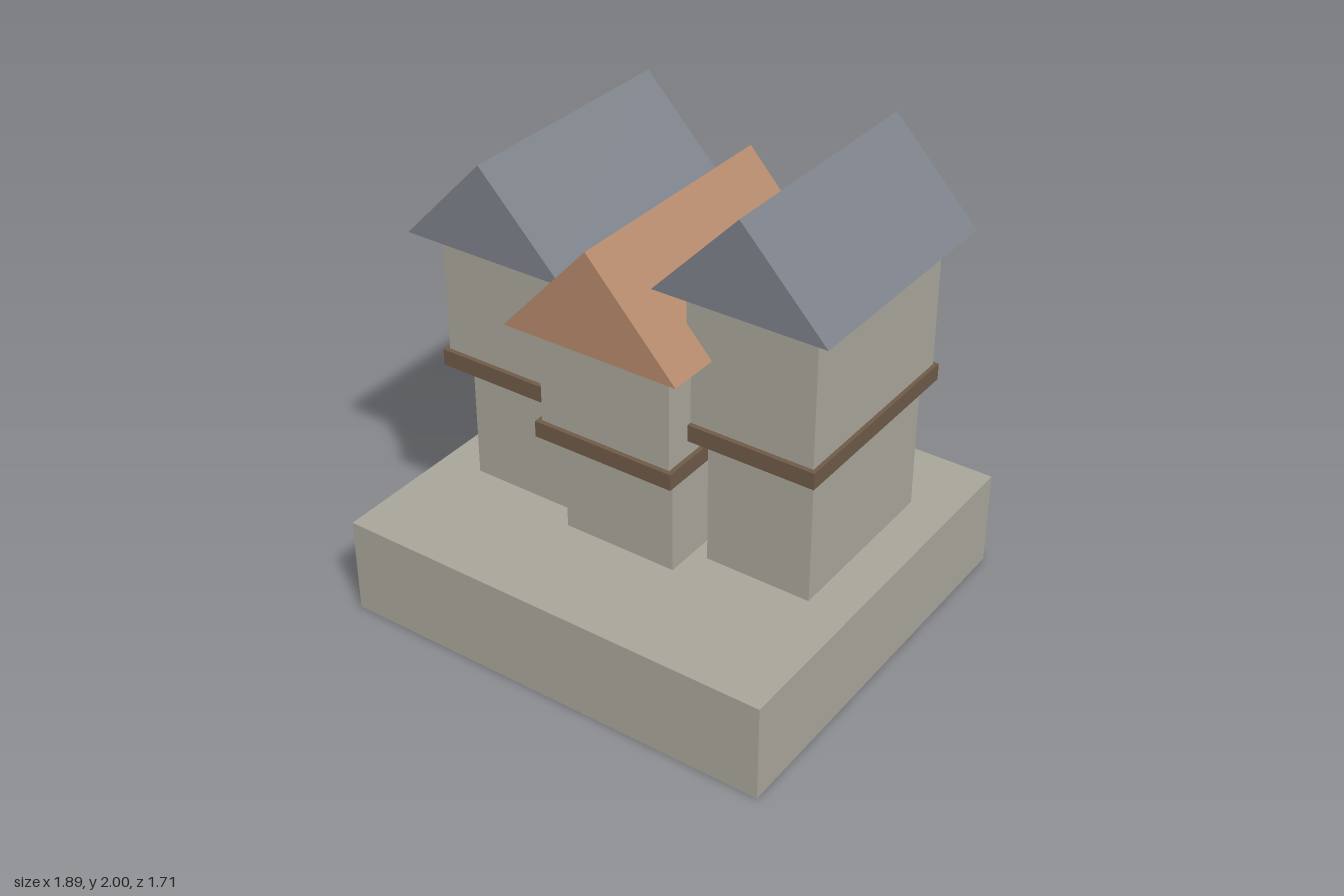
import * as THREE from 'three';

const mat = (name, color) => {
  const m = new THREE.MeshStandardMaterial({ color });
  m.name = name;
  return m;
};

export function createModel() {
  const stone = mat('stone', 0xa8a59a);
  const slate = mat('slate', 0x7d828a);
  const clay = mat('clay tile', 0xb5896c);
  const timber = mat('timber', 0x6e5a48);

  // box given by its width and its y and z ranges, centred on x = 0
  const block = (name, material, w, y0, y1, z0, z1) => {
    const mesh = new THREE.Mesh(new THREE.BoxGeometry(w, y1 - y0, z1 - z0), material);
    mesh.position.set(0, (y0 + y1) / 2, (z0 + z1) / 2);
    mesh.name = name;
    return mesh;
  };

  // triangular prism with its ridge along z
  const gable = (name, material, w, y0, y1, z0, z1) => {
    const shape = new THREE.Shape();
    shape.moveTo(-w / 2, 0).lineTo(w / 2, 0).lineTo(0, y1 - y0).closePath();
    const geo = new THREE.ExtrudeGeometry(shape, { depth: z1 - z0, bevelEnabled: false });
    const mesh = new THREE.Mesh(geo, material);
    mesh.position.set(0, y0, z0);
    mesh.name = name;
    return mesh;
  };

  const model = new THREE.Group();
  model.name = 'houses';
  model.add(block('base', stone, 1.89, 0, 0.413, -0.855, 0.855));

  // w: ground floor width; y: beam bottom, beam top, eave, ridge; z: roof centre
  const houses = [
    { name: 'rightHouse', x: -0.54, z: -0.055, w: 0.453, upper: 0.54, beam: 0.573, roof: 0.718, y: [0.947, 1.016, 1.535, 1.91], tile: slate },
    { name: 'middleHouse', x: 0, z: 0.035, w: 0.498, upper: 0.58, beam: 0.618, roof: 0.76, y: [0.86, 0.928, 1.355, 1.77], tile: clay },
    { name: 'leftHouse', x: 0.54, z: -0.1, w: 0.453, upper: 0.54, beam: 0.573, roof: 0.718, y: [0.995, 1.064, 1.622, 2.0], tile: slate },
  ];

  for (const h of houses) {
    const [beamBottom, beamTop, eave, ridge] = h.y;
    const house = new THREE.Group();
    house.name = h.name;
    house.position.set(h.x, 0, h.z);
    house.add(
      // ground floor, set back under the overhanging front
      block('groundFloor', stone, h.w, 0.413, beamBottom, -0.415, 0.35),
      block('floorBeam', timber, h.beam, beamBottom, beamTop, -0.44, 0.45),
      block('upperFloor', stone, h.upper, beamTop, eave, -0.425, 0.43),
      gable('roof', h.tile, h.roof, eave, ridge, -0.517, 0.517),
    );
    model.add(house);
  }
  return model;
}
